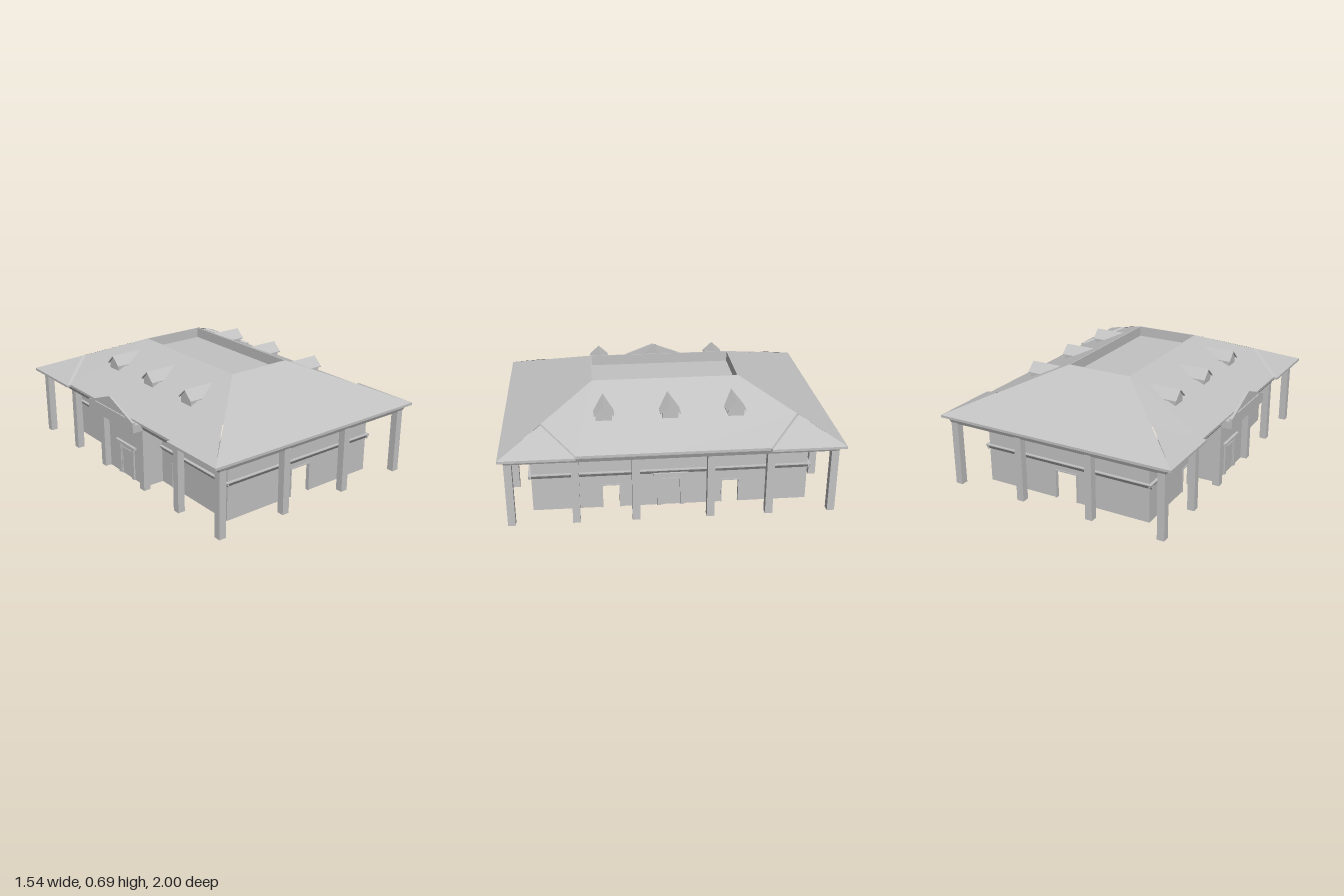
import * as THREE from 'three';

const grey = new THREE.MeshStandardMaterial({ color: 0xc2c2c2, side: THREE.DoubleSide, flatShading: true });
grey.name = 'plain grey';

// Roof plan: half sizes at the eaves, the recessed side eaves and the flat top
const EX = 0.7625, EZ = 1, SX = 0.7375, SZ = 0.56, TX = 0.21, TZ = 0.45;
const EAVE = 0.45, TOP = 0.69;
// Wall half sizes
const WX = 0.548, WZ = 0.83;

function add(parent, name, geometry, x = 0, y = 0, z = 0, ry = 0) {
  const mesh = new THREE.Mesh(geometry, grey);
  mesh.name = name;
  mesh.position.set(x, y, z);
  mesh.rotation.y = ry;
  parent.add(mesh);
  return mesh;
}

function box(parent, name, x0, x1, y0, y1, z0, z1) {
  return add(parent, name, new THREE.BoxGeometry(x1 - x0, y1 - y0, z1 - z0),
    (x0 + x1) / 2, (y0 + y1) / 2, (z0 + z1) / 2);
}

const outline = (points) => new THREE.Shape(points.map(([x, y]) => new THREE.Vector2(x, y)));
const extrude = (shape, depth) => new THREE.ExtrudeGeometry(shape, { depth, bevelEnabled: false });

// Flat polygons, each fanned into triangles
function polygons(list) {
  const pos = [];
  for (const p of list)
    for (let i = 1; i < p.length - 1; i++) pos.push(...p[0], ...p[i], ...p[i + 1]);
  const g = new THREE.BufferGeometry();
  g.setAttribute('position', new THREE.Float32BufferAttribute(pos, 3));
  g.computeVertexNormals();
  return g;
}

// Mirror a set of polygons, keeping them facing outward
function mirrored(list, sx, sz) {
  return list.map((p) => {
    const q = p.map(([x, y, z]) => [x * sx, y, z * sz]);
    return sx * sz < 0 ? q.reverse() : q;
  });
}

// Profile of [outward offset, y] carried around a rectangle
function rectSweep(hx, hz, profile) {
  const list = [];
  const corners = [[1, 1], [1, -1], [-1, -1], [-1, 1]];
  const at = ([sx, sz], [o, y]) => [sx * (hx + o), y, sz * (hz + o)];
  corners.forEach((a, i) => {
    const b = corners[(i + 1) % 4];
    for (let j = 0; j < profile.length - 1; j++)
      list.push([at(a, profile[j]), at(b, profile[j]), at(b, profile[j + 1]), at(a, profile[j + 1])]);
  });
  return polygons(list);
}

// Wall panel with door notches [centre, width, height], standing on the ground
function wallGeometry(length, height, doors) {
  const pts = [[-length / 2, height], [-length / 2, 0]];
  for (const [c, w, h] of doors)
    pts.push([c - w / 2, 0], [c - w / 2, h], [c + w / 2, h], [c + w / 2, 0]);
  pts.push([length / 2, 0], [length / 2, height]);
  return extrude(outline(pts), 0.02);
}

// Thin surround on the outside of a doorway
function surroundGeometry(w, h) {
  const o = w / 2 + 0.008, i = w / 2;
  return extrude(outline([[-o, 0], [-i, 0], [-i, h], [i, h], [i, 0], [o, 0], [o, h + 0.008], [-o, h + 0.008]]), 0.005);
}

function buildRoof(parent) {
  const slopes = [];
  for (const sx of [1, -1]) for (const sz of [1, -1]) {
    slopes.push(...mirrored([
      [[0, EAVE, EZ], [EX, EAVE, EZ], [TX, TOP, TZ], [0, TOP, TZ]],
      [[SX, EAVE, SZ], [SX, EAVE, 0], [TX, TOP, 0], [TX, TOP, TZ], [0.5, 0.555, 0.76]],
      [[EX, EAVE, EZ], [EX, EAVE, SZ], [0.53, 0.555, 0.76]],
      [[EX, EAVE, SZ], [SX, EAVE, SZ], [0.5, 0.555, 0.76], [0.53, 0.555, 0.76]],
    ], sx, sz));
  }
  add(parent, 'roofSlopes', polygons(slopes));

  // Sunken flat roof inside the top edge
  const floor = 0.625;
  add(parent, 'roofWellWalls', rectSweep(TX, TZ, [[0, TOP], [-0.006, TOP], [-0.006, floor]]));
  add(parent, 'roofWellFloor', polygons([[[-TX, floor, TZ], [TX, floor, TZ], [TX, floor, -TZ], [-TX, floor, -TZ]]]));

  // Eave board, stepping in along both sides
  const board = outline([[-EX, -EZ], [EX, -EZ], [EX, -SZ], [SX, -SZ], [SX, SZ], [EX, SZ],
    [EX, EZ], [-EX, EZ], [-EX, SZ], [-SX, SZ], [-SX, -SZ], [-EX, -SZ]]);
  board.holes.push(outline([[-0.665, -0.92], [-0.665, 0.92], [0.665, 0.92], [0.665, -0.92]]));
  const fascia = add(parent, 'eaveBoard', extrude(board, 0.015), 0, EAVE, 0);
  fascia.rotation.x = Math.PI / 2;
  add(parent, 'eaveBeam', rectSweep(0.7125, 0.9675,
    [[-0.05, 0.436], [-0.05, 0.4], [0, 0.4], [0.012, 0.425], [0.015, 0.436]]));
}

// Small gabled dormer facing +x
function buildDormer(parent, side, z) {
  const g = new THREE.Group();
  g.name = 'dormer';
  const ridge = 0.645, eave = 0.59, front = 0.515, w = 0.06, b = 0.048, face = 0.505;
  const roofX = (y) => TX + (TOP - y) / (TOP - EAVE) * (SX - TX);
  const roof = [], body = [];
  for (const s of [1, -1]) {
    roof.push(...mirrored([
      [[front, eave, w], [front, ridge, 0], [roofX(ridge), ridge, 0], [roofX(eave), eave, w]],
      [[front, eave - 0.006, w], [front, eave, w], [roofX(eave), eave, w], [roofX(eave), eave - 0.006, w]],
      [[front, eave - 0.006, w], [front, ridge - 0.008, 0], [front, ridge, 0], [front, eave, w]],
      [[front, eave - 0.006, w], [roofX(eave), eave - 0.006, w], [roofX(ridge), ridge - 0.008, 0], [front, ridge - 0.008, 0]],
    ], 1, s));
    body.push(...mirrored([
      [[face, 0.552, b], [face, 0.552, 0], [face, ridge - 0.008, 0], [face, eave + 0.003, b]],
      [[face, 0.552, b], [face, eave + 0.003, b], [roofX(eave), eave + 0.003, b]],
    ], 1, s));
  }
  add(g, 'dormerRoof', polygons(roof));
  add(g, 'dormerBody', polygons(body));
  g.position.z = z;
  if (side < 0) g.rotation.y = Math.PI;
  parent.add(g);
}

// Side entrance in a local frame whose outside faces +z
function buildEntrance(parent, x, ry) {
  const g = new THREE.Group();
  g.name = 'sideEntrance';
  box(g, 'entranceLintel', -0.105, 0.105, 0.205, 0.22, 0, 0.018);
  for (const s of [-1, 1]) {
    const c = s * 0.072;
    box(g, 'entrancePilaster', c - 0.012, c + 0.012, 0, 0.205, 0, 0.01);
  }
  add(g, 'entranceDoorSurround', surroundGeometry(0.1, 0.172));
  g.position.x = x;
  g.rotation.y = ry;
  parent.add(g);
}

function buildWalls(parent) {
  const height = 0.47, side = [[-0.36, 0.1, 0.152], [0.36, 0.1, 0.152]];
  const belt = outline([[0, 0.213], [0.005, 0.22], [0.018, 0.238], [0.018, 0.243], [0, 0.243]]);
  // Belt piece centred in its length, facing +z
  const beltPiece = (length) => extrude(belt, length).rotateY(-Math.PI / 2).translate(length / 2, 0, 0);

  for (const s of [1, -1]) {
    const end = new THREE.Group();
    end.name = s > 0 ? 'frontWall' : 'backWall';
    end.rotation.y = s > 0 ? 0 : Math.PI;
    add(end, 'endWallPanel', wallGeometry(2 * WX, height, [[0, 0.14, 0.183]]), 0, 0, WZ - 0.02);
    add(end, 'doorSurround', surroundGeometry(0.14, 0.178), 0, 0, WZ);
    add(end, 'wallBelt', beltPiece(2 * WX + 0.034), 0, 0, WZ);
    parent.add(end);

    const wall = new THREE.Group();
    wall.name = s > 0 ? 'leftWall' : 'rightWall';
    wall.rotation.y = s * Math.PI / 2;
    const doors = s > 0 ? side : [side[0], [0, 0.36, 0.395], side[1]];
    add(wall, 'sideWallPanel', wallGeometry(2 * WZ - 0.04, height, doors), 0, 0, WX - 0.02);
    for (const [c, w, h] of side) add(wall, 'doorSurround', surroundGeometry(w, h - 0.004), c, 0, WX);
    if (s > 0) add(wall, 'wallBelt', beltPiece(2 * WZ + 0.034), 0, 0, WX);
    else for (const t of [-1, 1]) add(wall, 'wallBelt', beltPiece(0.645), t * 0.5225, 0, WX);
    parent.add(wall);
  }
  buildEntrance(parent, WX, Math.PI / 2);
}

// Projecting porch with a pediment on the -x side
function buildPorch(parent) {
  const out = -0.672;
  box(parent, 'porchFront', out, out + 0.02, 0, 0.4, -0.2, 0.2);
  for (const s of [1, -1]) box(parent, 'porchSide', out + 0.02, -WX + 0.02, 0, 0.4, s * 0.19 - 0.01, s * 0.19 + 0.01);
  buildEntrance(parent, out, -Math.PI / 2);
  box(parent, 'porchCeiling', -0.7675, -WX, 0.395, 0.44, -0.25, 0.25);
  box(parent, 'pedimentBase', -0.7825, -0.7675, 0.395, 0.458, -0.25, 0.25);
  const tri = [[-0.25, 0.455], [0.25, 0.455], [0, 0.55]];
  add(parent, 'pedimentPanel', extrude(outline(tri), 0.007), -0.7675, 0, 0, -Math.PI / 2);
  const frame = outline(tri);
  frame.holes.push(outline([[-0.18, 0.468], [0, 0.536], [0.18, 0.468]]));
  add(parent, 'pedimentFrame', extrude(frame, 0.015), -0.7675, 0, 0, -Math.PI / 2);
}

function buildColumns(parent) {
  const spots = [];
  for (const sx of [1, -1]) for (const sz of [1, -1]) {
    spots.push([sx * 0.69, sz * 0.9475], [sx * 0.235, sz * 0.9475], [sx * 0.69, sz * 0.57], [sx * 0.69, sz * 0.22]);
  }
  for (const [x, z] of spots) box(parent, 'column', x - 0.0225, x + 0.0225, 0, 0.405, z - 0.0225, z + 0.0225);
}

export function createModel() {
  const model = new THREE.Group();
  model.name = 'pavilion';
  const building = new THREE.Group();
  building.name = 'building';
  building.position.x = 0.0075;
  model.add(building);
  buildRoof(building);
  for (const s of [1, -1]) for (const z of [-0.39, 0, 0.39]) buildDormer(building, s, z);
  buildWalls(building);
  buildPorch(building);
  buildColumns(building);
  return model;
}
